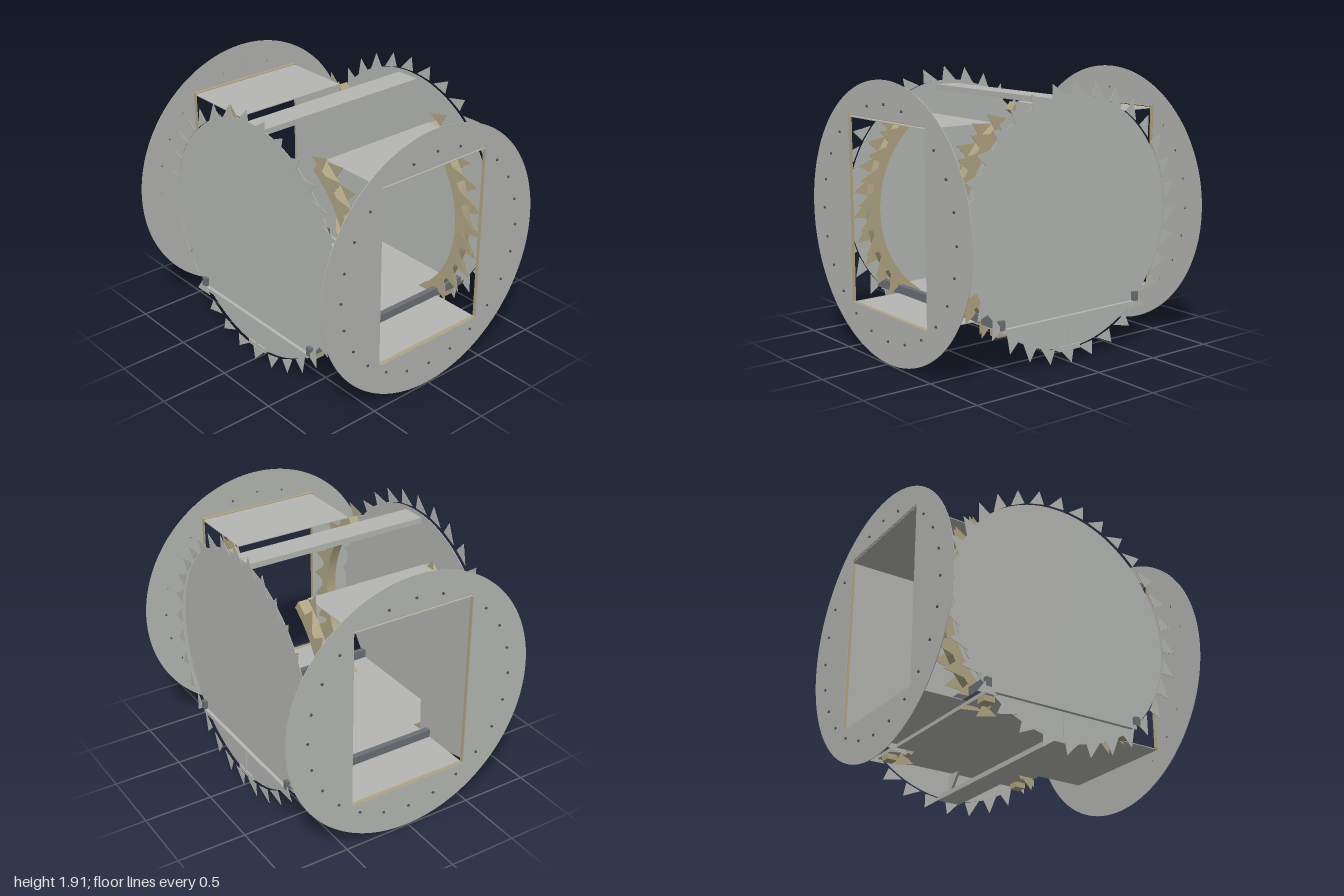
import * as THREE from 'three';

const mat = (name, color) => {
  const m = new THREE.MeshStandardMaterial({ color });
  m.name = name;
  return m;
};
const CY = 0.96; // axle height

export function createModel() {
  const root = new THREE.Group();
  const grey = mat('plate grey', 0xb5b7b3);
  const tan = mat('tan', 0xb0a584);
  const slate = mat('slate', 0x6b7074);
  const dark = mat('bolt dark', 0x50545a);

  const add = (name, geo, material, x = 0, y = 0, z = 0) => {
    const m = new THREE.Mesh(geo, material);
    m.name = name;
    m.position.set(x, y, z);
    root.add(m);
    return m;
  };
  // box given by its limits
  const box = (name, material, x0, x1, y0, y1, z0, z1) =>
    add(name, new THREE.BoxGeometry(x1 - x0, y1 - y0, z1 - z0), material,
      (x0 + x1) / 2, (y0 + y1) / 2, (z0 + z1) / 2);
  const extrude = (shapes, depth, curveSegments = 32) => {
    const g = new THREE.ExtrudeGeometry(shapes, { depth, bevelEnabled: false, curveSegments });
    g.translate(0, 0, -depth / 2);
    return g;
  };
  const polar = (r, a) => new THREE.Vector2(r * Math.cos(a), r * Math.sin(a));
  const pitch = Math.PI / 16;
  // one saw tooth: long ramp up to the tip, then a steep drop
  const tooth = (a, r0, r1) => new THREE.Shape([
    polar(r0, a + 0.125), polar(r1, a), polar(r0, a - 0.02),
  ]);

  // end plates with a ring of saw teeth
  const sawTeeth = [];
  for (let i = 0; i < 32; i++) sawTeeth.push(tooth(Math.PI / 2 - i * pitch, 0.852, 0.953));
  for (const s of [-1, 1]) {
    const disc = new THREE.CylinderGeometry(0.855, 0.855, 0.004, 96);
    disc.rotateX(Math.PI / 2);
    add('sawDisc', disc, grey, 0, CY, s * 0.7);
    add('sawTeeth', extrude(sawTeeth, 0.003), grey, 0, CY, s * 0.728);
  }

  // floor and cross beams
  box('floor', grey, -0.58, 0.58, 0.31, 0.338, -0.728, 0.728);
  box('topBeam', grey, -0.09, 0.09, 1.745, 1.785, -0.698, 0.698);
  box('bottomBeam', grey, -0.09, 0.09, 0.09, 0.125, -0.712, 0.712);
  for (const s of [-1, 1]) {
    // triangular webs between bottom beam and floor
    const web = extrude(new THREE.Shape([
      new THREE.Vector2(0.71, 0.125), new THREE.Vector2(0.71, 0.29),
      new THREE.Vector2(0.57, 0.29), new THREE.Vector2(0.64, 0.2),
    ]), 0.02);
    web.rotateY(-Math.PI / 2);
    const m = add('beamWeb', web, grey);
    if (s < 0) m.rotation.y = Math.PI;
  }

  for (const s of [-1, 1]) {
    const lim = (a, b) => (s > 0 ? [a, b] : [-b, -a]);

    // long rails on the floor edges with small brackets below
    box('floorRail', slate, ...lim(0.57, 0.612), 0.337, 0.4, -0.73, 0.73);
    for (const z of [-0.62, 0.62]) {
      box('railBracket', tan, ...lim(0.5, 0.58), 0.27, 0.31, z - 0.04, z + 0.04);
    }

    // round side plate with a rectangular window
    const plate = new THREE.Shape();
    plate.absarc(0, 0, 0.953, 0, Math.PI * 2);
    const hole = new THREE.Path();
    const w = 0.457, h0 = 0.342 - CY, h1 = 1.655 - CY;
    hole.moveTo(-w, h0).lineTo(-w, h1).lineTo(w, h1).lineTo(w, h0).closePath();
    plate.holes.push(hole);
    const plateGeo = extrude(plate, 0.004, 96);
    plateGeo.rotateY(Math.PI / 2);
    add('sidePlate', plateGeo, grey, s * 0.99, CY, 0);

    // bolts, leaving out the two at the upper window corners
    for (let i = 0; i < 24; i++) {
      if (i === 2 || i === 22) continue;
      const a = (i * Math.PI) / 12;
      const bolt = new THREE.CylinderGeometry(0.009, 0.009, 0.012, 10);
      bolt.rotateZ(Math.PI / 2);
      add('bolt', bolt, dark, s * 0.994, CY + 0.795 * Math.cos(a), 0.795 * Math.sin(a));
    }

    // window lining
    for (const z of [-0.457, 0.457]) {
      box('windowJamb', tan, ...lim(0.963, 0.988), 0.342, 1.655, z - 0.003, z + 0.003);
    }
    for (const y of [0.342, 1.652]) {
      box('windowSill', tan, ...lim(0.963, 0.988), y - 0.003, y + 0.003, -0.457, 0.457);
    }

    // tunnel roof and floor
    box('tunnelRoof', grey, ...lim(0.457, 0.99), 1.636, 1.642, -0.455, 0.455);
    box('tunnelFloor', grey, ...lim(0.457, 0.99), 0.336, 0.342, -0.455, 0.455);

    // curved tan ribs with two offset rows of teeth
    const mid = s > 0 ? 0 : Math.PI, half = 0.975;
    const rib = new THREE.Shape();
    rib.absarc(0, 0, 0.82, mid - half, mid + half, false);
    rib.absarc(0, 0, 0.75, mid + half, mid - half, true);
    for (const z of [-1, 1]) {
      add('rib', extrude(rib, 0.074, 40), tan, 0, CY, z * 0.492);
      [0.457, 0.527].forEach((d, row) => {
        const teeth = [];
        for (let i = -5; i < 5; i++) {
          teeth.push(tooth(mid + (i + 0.25 + row * 0.5) * pitch, 0.818, 0.93));
        }
        add('ribTeeth', extrude(teeth, 0.003), tan, 0, CY, z * d);
      });
    }
  }

  // inward facing walls of the right-hand tunnel
  const wall = (mirror) => new THREE.ShapeGeometry(new THREE.Shape([
    new THREE.Vector2(mirror * -0.97, 0.37), new THREE.Vector2(mirror * -0.5, 0.27),
    new THREE.Vector2(mirror * -0.46, 1.636), new THREE.Vector2(mirror * -0.97, 1.636),
  ]));
  add('tunnelWall', wall(1), grey, 0, 0, -0.454);
  add('tunnelWall', wall(-1), grey, 0, 0, 0.454).rotation.y = Math.PI;

  return root;
}
